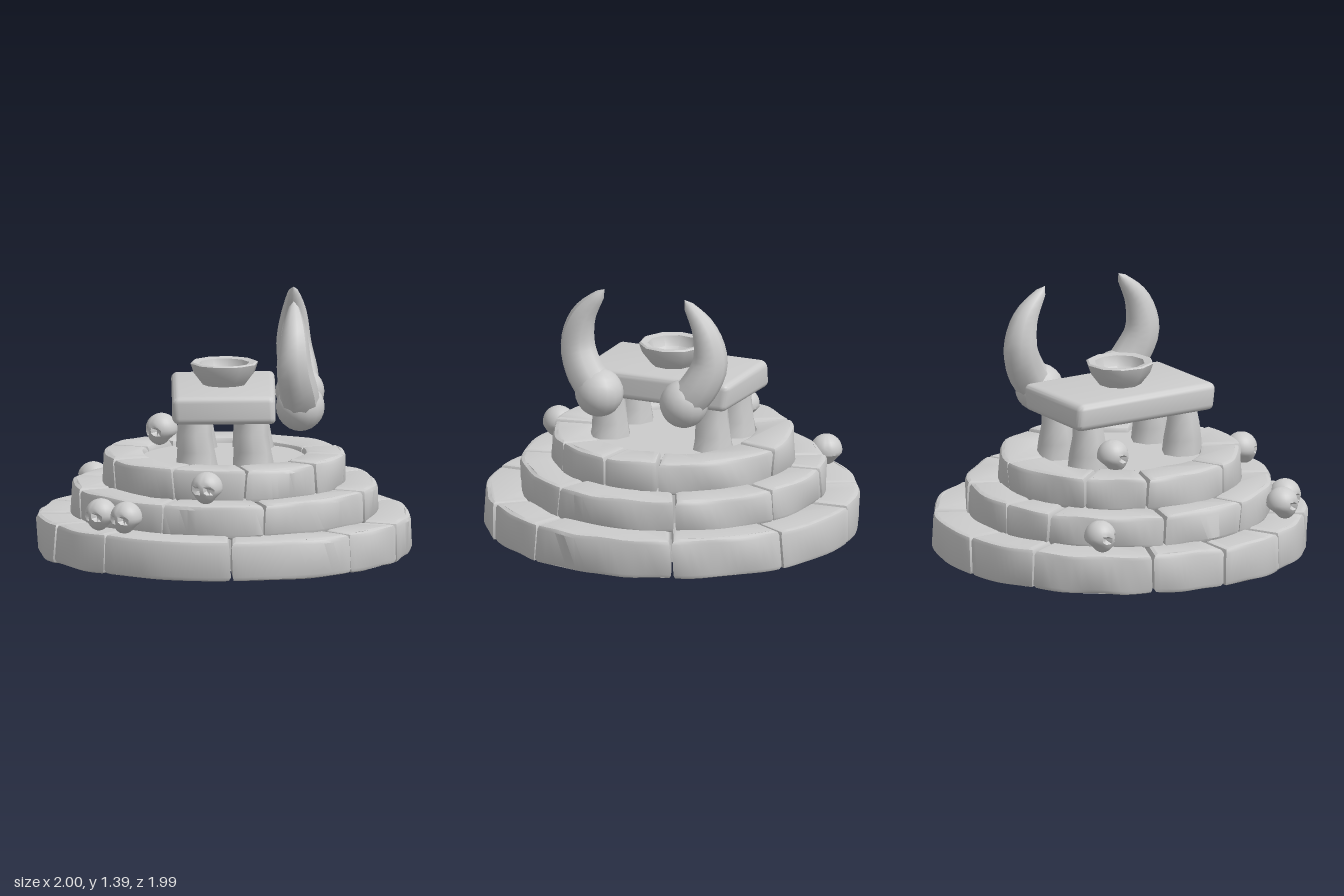
import * as THREE from 'three';
import { toCreasedNormals } from 'three/addons/utils/BufferGeometryUtils.js';
import { RoundedBoxGeometry } from 'three/addons/geometries/RoundedBoxGeometry.js';

const stone = new THREE.MeshStandardMaterial({ color: 0xcccccc });
const rad = THREE.MathUtils.degToRad;

let seed = 7;
const rand = () => (seed = (seed * 16807) % 2147483647) / 2147483647;

function add(parent, name, geometry, x = 0, y = 0, z = 0) {
  const mesh = new THREE.Mesh(geometry, stone);
  mesh.name = name;
  mesh.position.set(x, y, z);
  parent.add(mesh);
  return mesh;
}

// Moves every vertex by a rule
function deform(geometry, rule) {
  const p = geometry.attributes.position, v = new THREE.Vector3();
  for (let i = 0; i < p.count; i++) {
    v.fromBufferAttribute(p, i);
    rule(v, i);
    p.setXYZ(i, v.x, v.y, v.z);
  }
  geometry.computeVertexNormals();
  return geometry;
}

// Hand-hewn unevenness that depends only on position
function hew(geometry, amount, crease = 0.6) {
  deform(geometry, (v) => {
    const { x, y, z } = v;
    v.x += amount * Math.sin(17 * z + 23 * y + 1);
    v.y += amount * 0.5 * Math.sin(13 * x + 19 * z);
    v.z += amount * Math.sin(15 * x - 21 * y + 2);
  });
  return toCreasedNormals(geometry, crease);
}

// Curved block with rounded edges, spanning two angles of a ring
function arcStone(inner, outer, y0, y1, a0, a1) {
  const gap = 0.006, bevel = 0.025;
  const shape = new THREE.Shape();
  shape.absarc(0, 0, outer, a0 + gap / outer, a1 - gap / outer, false);
  shape.absarc(0, 0, inner, a1 - gap / inner, a0 + gap / inner, true);
  const g = new THREE.ExtrudeGeometry(shape, {
    depth: y1 - y0 - 2 * bevel, curveSegments: 6, bevelSegments: 2,
    bevelSize: bevel, bevelThickness: bevel, bevelOffset: -bevel,
  });
  g.rotateX(Math.PI / 2);
  g.translate(0, y1 - bevel, 0);
  return hew(g, 0.006);
}

function ringOfStones(name, inner, outer, y0, y1, joints) {
  const ring = new THREE.Group();
  ring.name = name;
  joints.forEach((start, i) => {
    const end = i + 1 < joints.length ? joints[i + 1] : joints[0] + 360;
    const r = outer - 0.012 * rand(), top = y1 - 0.01 * rand();
    add(ring, 'ringStone', arcStone(inner, r, y0, top, rad(start), rad(end)));
  });
  return ring;
}

// Skull: sphere with a narrowed jaw, sunken eye sockets and nose
function skullGeometry() {
  const dents = [[-0.38, -0.08, 0.92, 0.27, 0.4], [0.38, -0.08, 0.92, 0.27, 0.4], [0, -0.42, 0.9, 0.14, 0.2]];
  const g = new THREE.SphereGeometry(1, 26, 18);
  deform(g, (v) => {
    const d = v.clone().normalize();
    let s = 1;
    for (const [x, y, z, size, depth] of dents) {
      const dist = d.distanceTo(new THREE.Vector3(x, y, z).normalize());
      s -= depth * Math.max(0, 1 - (dist / size) ** 4);
    }
    v.multiplyScalar(s);
    if (d.y < -0.2) {
      const t = Math.min(1, (-0.2 - d.y) / 0.4);
      v.x *= 1 - 0.22 * t;
      v.z = v.z * (1 - 0.2 * t) + 0.18 * t;
    }
    v.multiplyScalar(0.085);
  });
  return toCreasedNormals(g.toNonIndexed(), 0.7);
}

// Tapered, curved horn
function hornGeometry(points) {
  const rings = 16, sides = 10;
  const curve = new THREE.CatmullRomCurve3(points);
  const g = new THREE.TubeGeometry(curve, rings, 1, sides, false);
  return deform(g, (v, i) => {
    const u = Math.floor(i / (sides + 1)) / rings;
    const c = curve.getPointAt(u);
    const r = u === 1 ? 0 : 0.09 * (1 - u ** 2.5) + 0.015;
    v.sub(c).multiplyScalar(r).add(c);
  });
}

export function createModel() {
  const model = new THREE.Group();
  model.name = 'altar';

  // Stepped rings of stones around a solid core
  model.add(ringOfStones('lowerStep', 0.65, 1.0, 0, 0.22,
    [3, 43, 85, 110, 134, 158, 196, 221, 255, 291, 338]));
  model.add(ringOfStones('middleStep', 0.55, 0.82, 0.2, 0.385,
    [30, 69, 116, 151, 196, 216, 250, 290, 339]));
  model.add(ringOfStones('upperStep', 0.43, 0.65, 0.36, 0.545,
    [-4, 35, 70, 110, 155, 185, 235, 298, 325]));
  const core = [[0, 0.01], [0.7, 0.01], [0.7, 0.19], [0.6, 0.19], [0.6, 0.35], [0.48, 0.35], [0.48, 0.51], [0, 0.51]];
  add(model, 'core', toCreasedNormals(
    new THREE.LatheGeometry(core.map(([r, y]) => new THREE.Vector2(r, y)), 40).toNonIndexed(), 0.6));

  // Slab on four flared legs, turned to the diagonal
  const table = new THREE.Group();
  table.name = 'table';
  table.rotation.y = -Math.PI / 4;
  model.add(table);
  const slab = new RoundedBoxGeometry(0.87, 0.15, 0.55, 3, 0.035);
  add(table, 'tableSlab', hew(slab, 0.006), 0, 0.825, 0);
  for (const x of [-0.3, 0.3]) for (const z of [-0.15, 0.15]) {
    const leg = new THREE.CylinderGeometry(0.078, 0.112, 0.27, 8, 3).toNonIndexed();
    add(table, 'tableLeg', hew(leg, 0.006, 0.9), x, 0.635, z);
  }

  // Offering bowl
  const bowl = [[0, 0.88], [0.1, 0.88], [0.13, 0.92], [0.165, 0.965], [0.182, 1.015],
    [0.172, 1.022], [0.135, 1.015], [0.12, 0.96], [0.08, 0.93], [0, 0.925]];
  add(model, 'bowl', toCreasedNormals(
    new THREE.LatheGeometry(bowl.map(([r, y]) => new THREE.Vector2(r, y)), 10).toNonIndexed(), 0.75));

  // Horns with round sockets, mirrored across the diagonal
  const path = [[0.46, 0.82, -0.11], [0.51, 0.91, -0.05], [0.535, 1.05, 0.01],
    [0.515, 1.22, -0.01], [0.425, 1.385, -0.095]];
  for (const mirrored of [false, true]) {
    const pts = path.map(([x, y, z]) =>
      mirrored ? new THREE.Vector3(-z, y, -x) : new THREE.Vector3(x, y, z));
    add(model, 'horn', hornGeometry(pts));
    add(model, 'hornSocket', new THREE.SphereGeometry(0.13, 16, 12), pts[0].x, pts[0].y, pts[0].z);
  }

  // Skulls resting on the steps: x, y, z, facing in degrees
  const skull = skullGeometry();
  for (const [x, y, z, facing] of [
    [-0.9, 0.3, 0.08, -20], [-0.04, 0.3, 0.89, 0], [0.13, 0.3, 0.87, 5],
    [0.435, 0.46, 0.57, 25], [-0.42, 0.615, 0.05, -5],
  ]) add(model, 'skull', skull, x, y, z).rotation.y = rad(facing);

  return model;
}
